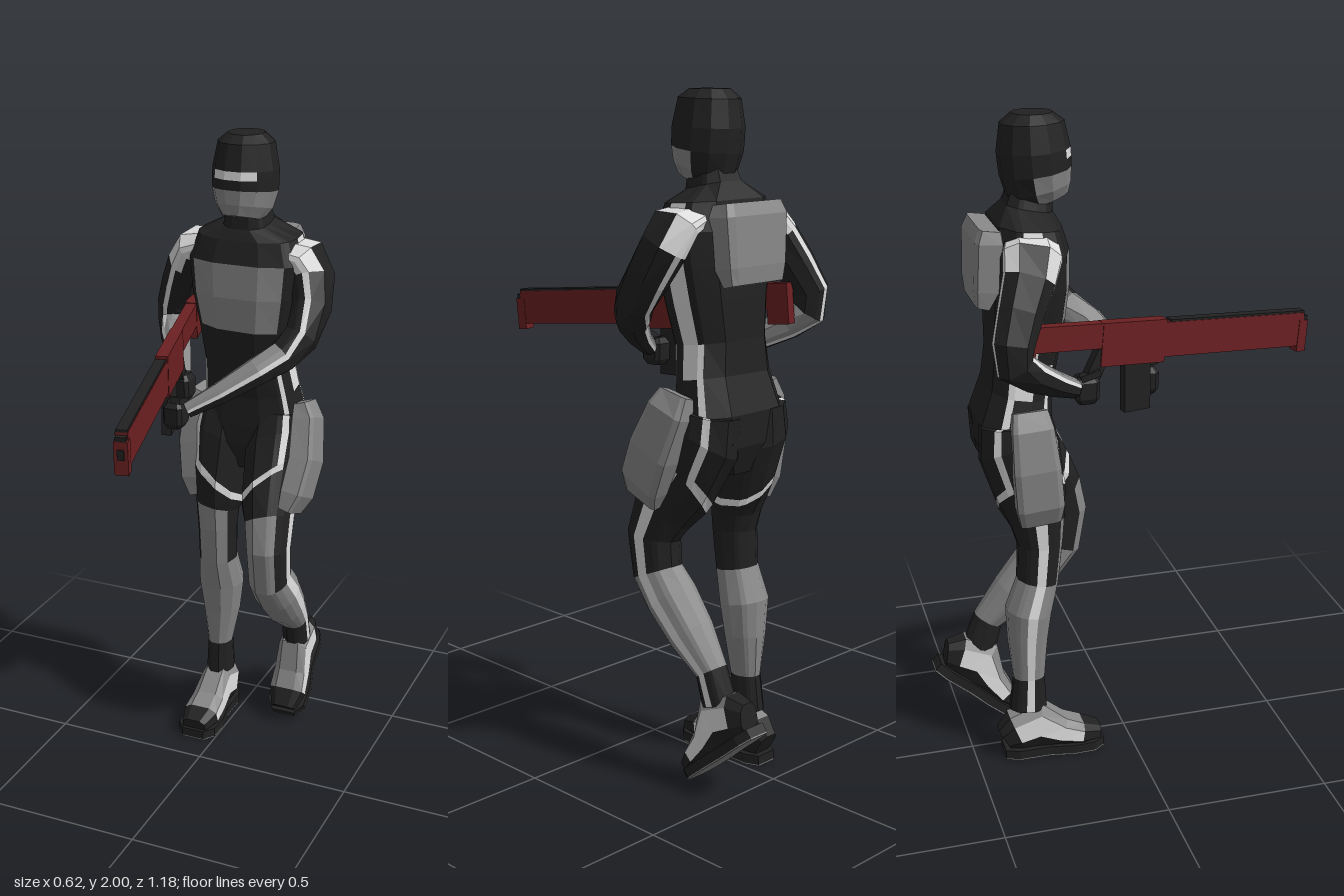
import * as THREE from 'three';

const V = (x, y, z) => new THREE.Vector3(x, y, z);
const material = (name, color) => {
  const m = new THREE.MeshStandardMaterial({ color, flatShading: true });
  m.name = name;
  return m;
};

export function createModel() {
  const black = material('black suit', 0x212121);
  const grey = material('grey armour', 0x888888);
  const white = material('white trim', 0xdcdcdc);
  const red = material('dark red', 0x6c2022);
  const mats = [black, grey, white, red];
  const model = new THREE.Group();
  model.name = 'armoured soldier';

  // Skin rings [x, y, z, halfU, halfV, slant] placed along a path.
  // Angles run from the v side towards u; paint(band, midAngle) picks the colour.
  function loft(parent, name, rings, angles, paint, { ref = V(1, 0, 0), s = 1, p = 1 } = {}) {
    const pw = (n) => Math.sign(n) * Math.abs(n) ** p;
    const centres = rings.map((r) => V(r[0], r[1], r[2]));
    const last = rings.length - 1;
    const pts = rings.map((r, i) => {
      const t = centres[Math.min(i + 1, last)].clone().sub(centres[Math.max(i - 1, 0)]).normalize();
      const u = ref.clone().addScaledVector(t, -ref.dot(t)).normalize();
      const v = t.clone().cross(u).multiplyScalar(s);
      return angles.map((d) => {
        const a = THREE.MathUtils.degToRad(d);
        const du = r[3] * pw(Math.sin(a));
        return centres[i].clone().addScaledVector(u, du)
          .addScaledVector(v, r[4] * pw(Math.cos(a))).addScaledVector(t, -(r[5] || 0) * du);
      });
    });
    const buckets = mats.map(() => []);
    const tri = (m, a, b, c) => {
      for (const q of s > 0 ? [a, c, b] : [a, b, c]) buckets[mats.indexOf(m)].push(q.x, q.y, q.z);
    };
    const n = angles.length;
    for (let j = 0; j < n; j++) {
      const k = (j + 1) % n;
      const mid = k ? (angles[j] + angles[k]) / 2 : 180;
      for (let i = 0; i < last; i++) {
        const m = paint(i, mid);
        tri(m, pts[i][j], pts[i][k], pts[i + 1][k]);
        tri(m, pts[i][j], pts[i + 1][k], pts[i + 1][j]);
      }
      tri(paint(0, mid), centres[0], pts[0][k], pts[0][j]);
      tri(paint(last - 1, mid), centres[last], pts[last][j], pts[last][k]);
    }
    const geo = new THREE.BufferGeometry();
    geo.setAttribute('position', new THREE.Float32BufferAttribute(buckets.flat(), 3));
    let start = 0;
    buckets.forEach((b, i) => {
      if (b.length) geo.addGroup(start, b.length / 3, i);
      start += b.length / 3;
    });
    geo.computeVertexNormals();
    const mesh = new THREE.Mesh(geo, mats);
    mesh.name = name;
    parent.add(mesh);
  }

  function box(parent, name, mat, [w, h, d], [x, y, z], rx = 0) {
    const mesh = new THREE.Mesh(new THREE.BoxGeometry(w, h, d), mat);
    mesh.name = name;
    mesh.position.set(x, y, z);
    mesh.rotation.x = rx;
    parent.add(mesh);
  }

  // Head: hood, eye slit and face mask
  loft(model, 'head', [
    [.038, 2, -.255, .055, .06], [.038, 1.975, -.255, .085, .092], [.038, 1.897, -.252, .1, .106],
    [.038, 1.87, -.25, .1, .106], [.038, 1.835, -.248, .1, .104], [.038, 1.785, -.24, .086, .096],
    [.038, 1.75, -.23, .06, .08],
  ], [-165, -135, -105, -75, -42, -15, 15, 42, 75, 105, 135, 165], (i, d) =>
    i === 2 && Math.abs(d) < 40 ? white : i >= 4 && Math.abs(d) < 100 ? grey : black);

  // Torso: chest panel, side piping that splits to front and back at the waist
  loft(model, 'torso', [
    [.04, 1.79, -.265, .058, .062], [.04, 1.735, -.275, .072, .075], [.04, 1.695, -.285, .16, .1],
    [.04, 1.62, -.283, .185, .118], [.04, 1.52, -.285, .175, .12], [.04, 1.42, -.292, .155, .115],
    [.035, 1.3, -.305, .135, .104], [.04, 1.2, -.32, .148, .1], [.04, 1.1, -.34, .168, .118],
    [.04, 1.02, -.338, .145, .112], [.04, .93, -.33, .06, .075],
  ], [-150, -115, -104, -84, -62, -53, -47, -17, 17, 47, 53, 62, 84, 104, 115, 150], (i, d) => {
    const a = Math.abs(d);
    if ((i === 3 || i === 4) && a < 47) return grey;
    if (i >= 2 && i < 7 && a > 84 && a < 104) return white;
    return i >= 6 && i < 9 && ((a > 53 && a < 62) || (a > 104 && a < 115)) ? white : black;
  }, { p: .75 });

  // Backpack and thigh pads
  const padAngles = [-150, -120, -60, -30, 30, 60, 120, 150];
  const pad = (name, rings, p) => loft(model, name, rings, padAngles, () => grey, { p });
  pad('backpack', [
    [.038, 1.695, -.4, .118, .034], [.038, 1.66, -.405, .13, .045],
    [.038, 1.52, -.415, .12, .04], [.038, 1.47, -.428, .11, .022],
  ], .4);
  pad('leftThighPad', [
    [.22, 1.17, -.31, .025, .055], [.235, 1.12, -.3, .04, .07], [.25, 1, -.252, .043, .08],
    [.24, .9, -.205, .04, .08], [.225, .85, -.185, .025, .07],
  ], .5);
  pad('rightThighPad', [
    [-.12, 1.17, -.315, .025, .055], [-.135, 1.12, -.313, .04, .066], [-.145, 1, -.305, .043, .075],
    [-.135, .88, -.295, .04, .076], [-.12, .82, -.29, .025, .065],
  ], .5);

  // Legs: piping that turns across the thigh, knee guard, armoured calf
  const legAngles = [-165, -140, -128, -96, -84, -52, -18, 18, 28, 40, 58, 78, 103, 122, 134, 165];
  const legPaint = (i, d) => {
    if (i < 2) return (d > 28 && d < 40) || (d > 122 && d < 134) ? white : black;
    if (i === 2) return d > 40 && d < 122 ? black : white;
    if (d > 78 && d < 103) return white;
    if (i === 3 || i === 9) return black;
    return i > 5 || Math.abs(d) < 40 ? grey : black;
  };
  const leg = (name, side, rings) =>
    loft(model, name, rings, legAngles, legPaint, { ref: V(side, 0, 0), s: side });
  leg('leftLeg', 1, [
    [.13, 1.12, -.342, .092, .11], [.13, 1.03, -.325, .102, .124, .3], [.14, .91, -.262, .092, .12, .8],
    [.142, .885, -.248, .09, .117, .8], [.155, .8, -.193, .076, .1, .2], [.165, .72, -.165, .068, .088],
    [.165, .61, -.18, .066, .083], [.165, .54, -.24, .074, .082], [.165, .45, -.32, .067, .073],
    [.17, .36, -.405, .045, .05], [.168, .27, -.435, .045, .055],
  ]);
  leg('rightLeg', -1, [
    [-.05, 1.12, -.342, .092, .11], [-.055, 1.03, -.335, .1, .124, .3], [-.06, .9, -.305, .088, .11, .8],
    [-.06, .875, -.3, .086, .108, .8], [-.06, .79, -.285, .07, .083, .2], [-.058, .72, -.28, .064, .07],
    [-.06, .6, -.29, .062, .065], [-.06, .5, -.32, .075, .072], [-.06, .4, -.325, .062, .063],
    [-.065, .27, -.325, .04, .05], [-.066, .16, -.33, .045, .06],
  ]);

  // Boots: shaped upper on a flat black sole with a grey tread
  const soleShape = new THREE.Shape([
    [-.035, -.082], [.035, -.082], [.052, -.04], [.052, .06], [.066, .13], [.064, .2], [.038, .235],
    [-.038, .235], [-.064, .2], [-.066, .13], [-.052, .06], [-.052, -.04],
  ].map(([x, z]) => new THREE.Vector2(x, -z)));
  function boot(name, pos, pitch) {
    const g = new THREE.Group();
    g.name = name;
    g.position.set(...pos);
    g.rotation.x = pitch;
    loft(g, 'bootUpper', [
      [0, .058, -.078, .035, .046], [0, .08, -.04, .05, .07], [0, .1, .03, .052, .083],
      [0, .066, .1, .058, .052], [0, .05, .165, .062, .04], [0, .04, .225, .042, .026],
    ], [-150, -102, -64, -25, 25, 64, 102, 150], (i, d) => {
      const a = Math.abs(d);
      if (i === 4 || i === 0 || a > 102) return black;
      return a > 64 ? white : grey;
    }, { p: .75 });
    for (const [part, mat, y, depth] of [['tread', grey, 0, .004], ['sole', black, .004, .028]]) {
      const geo = new THREE.ExtrudeGeometry(soleShape, { depth, bevelEnabled: false });
      const mesh = new THREE.Mesh(geo.rotateX(-Math.PI / 2), mat);
      mesh.name = part;
      mesh.position.y = y;
      g.add(mesh);
    }
    model.add(g);
  }
  boot('leftBoot', [.165, .162, -.525], .7);
  boot('rightBoot', [-.068, 0, -.33], 0);

  // Arms: white shoulder seam splitting into front and back piping, grey inner forearm
  const armAngles = [-150, -110, -90, -72, -30, 30, 72, 90, 110, 150];
  const armPaint = (i, d) => {
    const a = Math.abs(d);
    if (i === 0 || (a > 72 && a < 90) || (i === 1 && a > 30 && a < 110)) return white;
    return i >= 5 && a > 72 ? grey : black;
  };
  const arm = (name, side, rings) =>
    loft(model, name, rings, armAngles, armPaint, { ref: V(0, 0, 1), s: -side });
  arm('leftArm', 1, [
    [.165, 1.65, -.29, .078, .042], [.215, 1.635, -.295, .084, .06], [.245, 1.58, -.285, .078, .064],
    [.26, 1.5, -.24, .068, .06], [.252, 1.42, -.175, .06, .055], [.212, 1.37, -.125, .055, .053],
    [.155, 1.335, -.065, .048, .046], [.065, 1.275, -.002, .036, .036], [-.02, 1.225, .046, .025, .026],
  ]);
  arm('rightArm', -1, [
    [-.09, 1.65, -.29, .078, .042], [-.14, 1.635, -.3, .084, .06], [-.18, 1.58, -.32, .075, .06],
    [-.22, 1.5, -.355, .066, .06], [-.255, 1.42, -.385, .06, .056], [-.256, 1.36, -.383, .055, .054],
    [-.23, 1.32, -.33, .05, .048], [-.18, 1.27, -.25, .038, .038], [-.14, 1.235, -.185, .027, .03],
  ]);

  // Gloved fists wrapped round the grips
  function hand(name, [x, y, z], side) {
    const g = new THREE.Group();
    g.name = name;
    loft(g, 'fist', [
      [x, y + .042, z, .022, .028], [x, y + .025, z, .034, .042],
      [x, y - .025, z, .034, .04], [x, y - .042, z, .024, .028],
    ], padAngles, () => black, { p: .7 });
    box(g, 'thumb', black, [.03, .02, .06], [x + side * .015, y + .045, z + .01], -.3);
    model.add(g);
  }
  hand('leftHand', [-.055, 1.212, .05], 1);
  hand('rightHand', [-.122, 1.225, -.148], -1);

  // Rifle, tucked under the right arm
  const gun = new THREE.Group();
  gun.name = 'rifle';
  gun.position.set(-.08, 1.345, .08);
  gun.rotation.set(.09, .217, 0, 'YXZ');
  box(gun, 'receiver', red, [.038, .13, .21], [0, -.005, -.085]);
  box(gun, 'stock', red, [.034, .075, .22], [0, .022, -.295]);
  box(gun, 'butt', red, [.036, .12, .07], [0, .002, -.435]);
  box(gun, 'barrelHousing', red, [.036, .105, .49], [0, -.002, .26]);
  box(gun, 'topRail', black, [.032, .008, .47], [0, .053, .27]);
  box(gun, 'muzzle', red, [.04, .1, .03], [0, -.022, .505]);
  box(gun, 'frontSight', black, [.03, .014, .03], [0, .034, .504]);
  box(gun, 'bore', black, [.02, .03, .006], [0, -.01, .521]);
  box(gun, 'foregrip', black, [.03, .15, .085], [0, -.14, -.06], -.09);
  box(gun, 'rearGrip', black, [.03, .14, .045], [0, -.09, -.205], .4);
  model.add(gun);

  return model;
}
